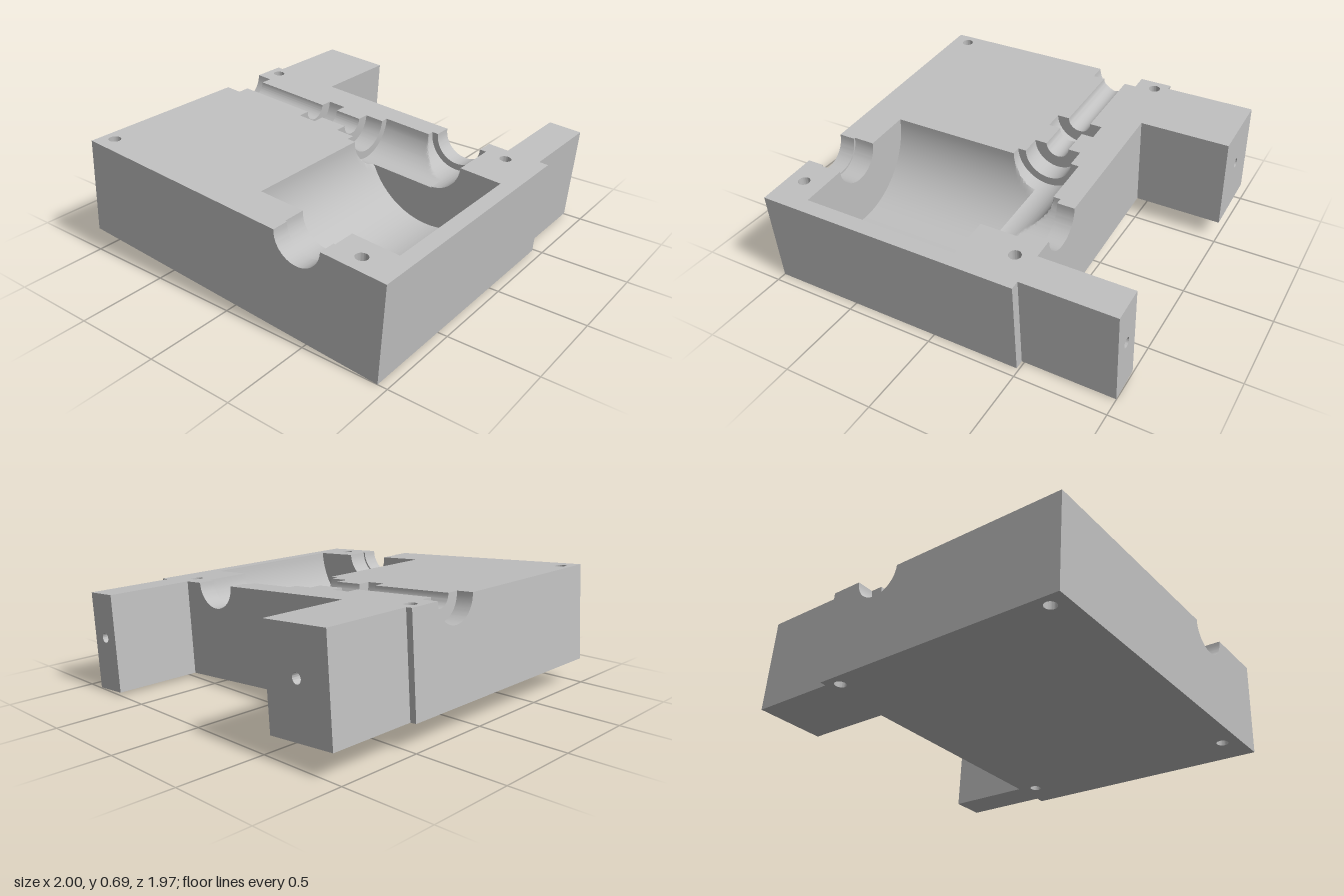
import * as THREE from 'three';
import { toCreasedNormals } from 'three/addons/utils/BufferGeometryUtils.js';

// Working frame: block top at y = 0, z along the depth; the whole block is tilted at the end.
const H = 0.548, X0 = -1, X1 = 0.487, D = 0.9675;
const AX = 0.465, AZ = 0.163; // axis of the motor bay (its z) and of the shaft channel (its x)

// Half-round cavities: direction of axis, centre, radius, from, to
const cavities = [
  ['x', AX, 0.138, X0, -0.905],
  ['x', AX, 0.148, -0.905, -0.78],
  ['x', AX, 0.416, -0.78, 0.122],
  ['x', AX, 0.175, 0.122, 0.388],
  ['x', AX, 0.138, 0.388, X1],
  ['z', AZ, 0.138, -D, -0.872],
  ['z', AZ, 0.068, -0.872, -0.39],
  ['z', AZ, 0.138, -0.39, -0.28],
  ['z', AZ, 0.068, -0.28, -0.115],
  ['z', AZ, 0.138, -0.115, -0.002],
  ['z', AZ, 0.185, -0.002, 0.48],
];

const screws = [[-0.903, -0.897], [0.413, -0.897], [-0.903, 0.762], [0.387, 0.762]];
const PAD = 0.045; // half width of the column around each screw hole

// Grid lines follow every cavity end and facet
function gridLines(along, lo, hi, screwIndex) {
  const list = [lo, hi];
  for (const [dir, c, r, a, b] of cavities) {
    if (dir === along) list.push(a, b);
    else {
      const n = r > 0.3 ? 40 : 20;
      for (let i = 0; i <= n; i++) list.push(c - r * Math.cos(Math.PI * i / n));
    }
  }
  for (const s of screws) list.push(s[screwIndex] - PAD, s[screwIndex] + PAD);
  return [...new Set(list.map(v => Math.round(v * 1e4) / 1e4))]
    .filter(v => v >= lo - 1e-6 && v <= hi + 1e-6).sort((p, q) => p - q);
}

// Carved top with all upright walls, including the outer sides
function carvedShell() {
  const xs = gridLines('x', X0, X1, 0), zs = gridLines('z', -D, D, 1);
  const pos = [];
  const quad = (a, b, c, d) => pos.push(...a, ...b, ...c, ...a, ...c, ...d);
  const nx = xs.length - 1, nz = zs.length - 1;

  // Heights of a cell's corners: [x0z0, x0z1, x1z1, x1z0]; outside the block it drops to the base
  const cell = (i, j) => {
    if (i < 0 || j < 0 || i >= nx || j >= nz) return [-H, -H, -H, -H];
    const mx = (xs[i] + xs[i + 1]) / 2, mz = (zs[j] + zs[j + 1]) / 2;
    const active = cavities.filter(([dir, c, r, a, b]) => {
      const [p, q] = dir === 'x' ? [mx, mz] : [mz, mx];
      return p > a && p < b && Math.abs(q - c) < r;
    });
    const y = (x, z) => -Math.max(0, ...active.map(([dir, c, r]) =>
      Math.sqrt(Math.max(0, r * r - ((dir === 'x' ? z : x) - c) ** 2))));
    return [y(xs[i], zs[j]), y(xs[i], zs[j + 1]), y(xs[i + 1], zs[j + 1]), y(xs[i + 1], zs[j])];
  };
  const differs = (a, b, c, d) => Math.abs(a - b) + Math.abs(c - d) > 2e-3;

  for (let i = -1; i < nx; i++) {
    for (let j = -1; j < nz; j++) {
      const h = cell(i, j), x = xs[i + 1], z = zs[j + 1];
      if (i >= 0 && j >= 0) {
        const mx = (xs[i] + x) / 2, mz = (zs[j] + z) / 2;
        const inPad = screws.some(s => Math.abs(mx - s[0]) < PAD && Math.abs(mz - s[1]) < PAD);
        if (!inPad) quad([xs[i], h[0], zs[j]], [xs[i], h[1], z], [x, h[2], z], [x, h[3], zs[j]]);
      }
      if (j >= 0) { // wall towards the next cell in x
        const n = cell(i + 1, j), z0 = zs[j];
        if (differs(h[3], n[0], h[2], n[1])) quad([x, n[0], z0], [x, h[3], z0], [x, h[2], z], [x, n[1], z]);
      }
      if (i >= 0) { // wall towards the next cell in z
        const n = cell(i, j + 1), x0 = xs[i];
        if (differs(h[1], n[0], h[2], n[3])) quad([x0, n[0], z], [x, n[3], z], [x, h[2], z], [x0, h[1], z]);
      }
    }
  }
  const g = new THREE.BufferGeometry();
  g.setAttribute('position', new THREE.Float32BufferAttribute(pos, 3));
  return toCreasedNormals(g, 0.5);
}

const rect = (Kind, a, b, c, d) => new Kind([[a, c], [b, c], [b, d], [a, d]].map(p => new THREE.Vector2(...p)));
const circle = (x, y, r) => new THREE.Path().absarc(x, y, r, 0, Math.PI * 2, true);
const extrude = (shape, depth) => toCreasedNormals(
  new THREE.ExtrudeGeometry(shape, { depth, bevelEnabled: false, curveSegments: 24 }), 0.5);

export function createModel() {
  const model = new THREE.Group();
  const block = new THREE.Group();
  block.name = 'housingHalf';
  model.add(block);
  const grey = new THREE.MeshStandardMaterial({ color: 0xc0c0c0 });
  grey.name = 'plain grey';
  const add = (name, geometry) => {
    const m = new THREE.Mesh(geometry, grey);
    m.name = name;
    block.add(m);
    return m;
  };

  add('carvedBody', carvedShell());

  // Underside, left open where the screw columns sit
  const base = rect(THREE.Shape, X0, X1, -D, D);
  for (const [x, z] of screws) base.holes.push(rect(THREE.Path, x - PAD, x + PAD, z - PAD, z + PAD));
  add('underside', new THREE.ShapeGeometry(base).rotateX(Math.PI / 2)).position.y = -H;

  // Screw columns, bored right through
  for (const [x, z] of screws) {
    const s = rect(THREE.Shape, x - PAD, x + PAD, z - PAD, z + PAD);
    s.holes.push(circle(x, z, 0.033));
    add('screwHole', extrude(s, H).rotateX(Math.PI / 2));
  }

  // Mounting arms on the left side, each bored along its length
  for (const [name, z0, z1, hole] of [['backArm', -0.932, -0.527, -0.729], ['frontArm', 0.722, 0.916, 0.82]]) {
    const s = rect(THREE.Shape, -z1, -z0, -H, 0);
    s.holes.push(circle(-hole, -0.248, 0.028));
    add(name, extrude(s, 1 - X1).rotateY(Math.PI / 2)).position.x = X1;
  }

  block.rotation.x = 0.0724;
  block.position.set(0, 0.6168, 0.02);
  return model;
}
